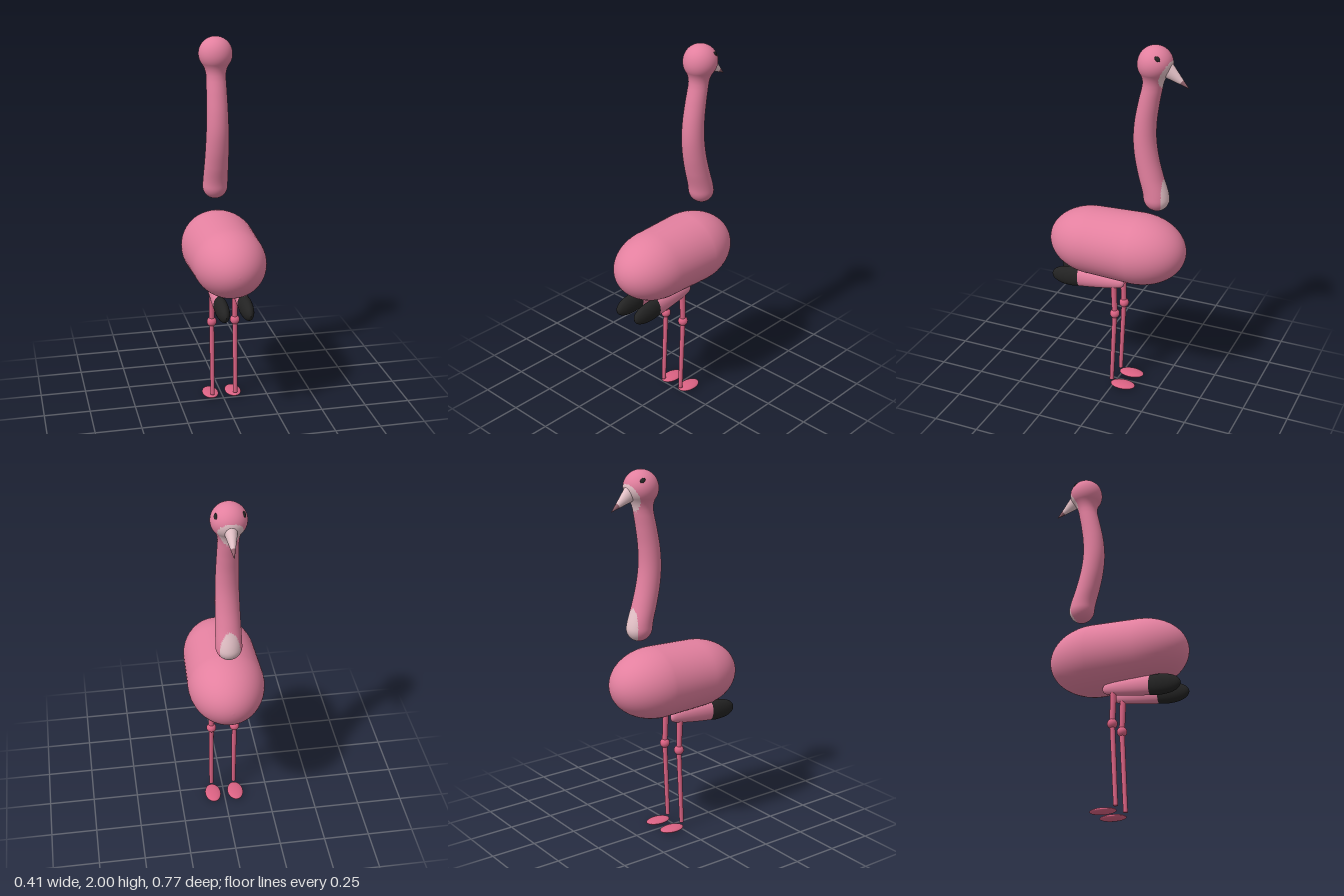
import * as THREE from 'three';
import { mergeVertices } from 'three/addons/utils/BufferGeometryUtils.js';

const mat = (name, color, side = THREE.FrontSide) => {
  const m = new THREE.MeshStandardMaterial({ color, side });
  m.name = name;
  return m;
};
const V2 = (x, y) => new THREE.Vector2(x, y);
const V3 = (x, y, z) => new THREE.Vector3(x, y, z);

export function createModel() {
  const pink = mat('feather pink', 0xe3809f);
  const rose = mat('leg rose', 0xdb6283);
  const pale = mat('pale pink', 0xe6c3c9);
  const dusky = mat('dusky beak tip', 0x94646f);
  const black = mat('black', 0x232323);

  const model = new THREE.Group();
  model.name = 'wadingBird';
  const add = (name, geometry, material, parent = model) => {
    const mesh = new THREE.Mesh(geometry, material);
    mesh.name = name;
    parent.add(mesh);
    return mesh;
  };

  // tapered rod between two points
  const rod = (name, a, b, ra, rb, material, parent = model, flat = 1, seg = 16) => {
    const dir = b.clone().sub(a);
    const g = new THREE.CylinderGeometry(rb, ra, dir.length(), seg);
    g.scale(flat, 1, 1);
    const m = add(name, g, material, parent);
    m.position.copy(a).lerp(b, 0.5);
    m.quaternion.setFromUnitVectors(V3(0, 1, 0), dir.normalize());
    return m;
  };

  // body: long rounded egg, slightly fuller at the chest (-z)
  const bodyPts = [];
  const N = 20;
  for (let i = 0; i <= N; i++) {
    const a = (i / N) * Math.PI / 2;
    bodyPts.push(V2(0.205 * Math.sin(a), -0.12 - 0.265 * Math.cos(a)));
  }
  for (let i = 0; i <= N; i++) {
    const a = (i / N) * Math.PI / 2;
    bodyPts.push(V2(0.196 * Math.cos(a), 0.13 + 0.255 * Math.sin(a)));
  }
  const body = new THREE.LatheGeometry(bodyPts, 48);
  body.rotateX(Math.PI / 2);
  body.scale(1, 0.94, 1);
  // the back slopes down a touch toward the tail
  add('body', body, pink).position.y = 0.863;

  // neck and head: one lathe profile, bent along a curve in z
  const lower = V3(0, 1.11, -0.224);
  const line = [lower, V3(0, 1.2, -0.217), V3(0, 1.3, -0.188), V3(0, 1.4, -0.164), V3(0, 1.5, -0.152),
    V3(0, 1.6, -0.156), V3(0, 1.7, -0.172), V3(0, 1.8, -0.192), V3(0, 1.91, -0.203), V3(0, 2, -0.203)];
  const centreZ = (y) => {
    let i = 0;
    while (i < line.length - 2 && y > line[i + 1].y) i++;
    const a = line[i], b = line[i + 1];
    const slope = (j) => {
      const p = line[Math.max(j - 1, 0)], q = line[Math.min(j + 1, line.length - 1)];
      return (q.z - p.z) / (q.y - p.y);
    };
    const h = b.y - a.y, t = (y - a.y) / h, s = 1 - t;
    return (1 + 2 * t) * s * s * a.z + t * s * s * h * slope(i)
      + t * t * (3 - 2 * t) * b.z - t * t * s * h * slope(i + 1);
  };
  const profile = [];
  for (let i = 0; i < 12; i++) {
    const a = (i / 12) * Math.PI / 2;
    profile.push(V2(0.069 * Math.sin(a), 1.18 - 0.07 * Math.cos(a)));
  }
  for (let i = 0; i <= 60; i++) {
    const y = 1.18 + (i / 60) * 0.6;
    profile.push(V2(0.069 - 0.016 * (i / 60), y));
  }
  profile.push(V2(0.0535, 1.80), V2(0.056, 1.817), V2(0.061, 1.833), V2(0.068, 1.848));
  for (let i = 0; i <= 28; i++) {
    const a = -0.6 + (i / 28) * (Math.PI / 2 + 0.6);
    profile.push(V2(Math.max(0, 0.091 * Math.cos(a)), 1.909 + 0.091 * Math.sin(a)));
  }
  let neck = new THREE.LatheGeometry(profile, 72);
  const p = neck.attributes.position;
  for (let i = 0; i < p.count; i++) p.setZ(i, p.getZ(i) + centreZ(p.getY(i)));
  neck.deleteAttribute('uv');
  neck.deleteAttribute('normal');
  neck = mergeVertices(neck, 1e-5);
  neck.computeVertexNormals();

  // pale patches at the throat and the foot of the neck
  const patches = [
    { c: V3(0, 1.18, -0.30), r: V3(0.065, 0.15, 0.06) },
    { c: V3(0, 1.85, -0.28), r: V3(0.075, 0.085, 0.055) },
  ];
  const pos = neck.attributes.position, index = neck.index.array;
  const faces = [[], []];
  for (let i = 0; i < index.length; i += 3) {
    const tri = [index[i], index[i + 1], index[i + 2]];
    const mid = V3(0, 0, 0);
    tri.forEach((k) => mid.add(V3(pos.getX(k), pos.getY(k), pos.getZ(k))));
    mid.divideScalar(3);
    const inPatch = patches.some(({ c, r }) => mid.clone().sub(c).divide(r).length() < 1);
    faces[inPatch ? 1 : 0].push(...tri);
  }
  neck.setIndex([...faces[0], ...faces[1]]);
  neck.addGroup(0, faces[0].length, 0);
  neck.addGroup(faces[0].length, faces[1].length, 1);
  add('neckAndHead', neck, [pink, pale]);

  // beak: narrow cone pointing forward and down
  const root = V3(0, 1.885, -0.265), tip = V3(0, 1.8, -0.384);
  const split = root.clone().lerp(tip, 0.66);
  rod('beakBase', root, split, 0.044, 0.015, pale, model, 0.8, 24);
  rod('beakTip', split, tip, 0.015, 0.0005, dusky, model, 0.8, 24);

  // folded thigh plume profile, front (-z) to rear; last part is black
  const plume = new THREE.SplineCurve([V2(0, -0.068), V2(0.022, -0.055), V2(0.033, -0.02), V2(0.041, 0.04),
    V2(0.049, 0.13), V2(0.053, 0.2), V2(0.056, 0.25), V2(0.048, 0.31), V2(0.028, 0.35), V2(0, 0.366)]);
  const pts = plume.getPoints(45).map((v) => V2(Math.max(0, v.x), v.y));
  const plumeGeo = (list) => {
    const g = new THREE.LatheGeometry(list, 28);
    g.rotateX(Math.PI / 2);
    g.scale(0.64, 1, 1);
    return g;
  };
  const pinkPlume = plumeGeo(pts.slice(0, 26)), blackPlume = plumeGeo(pts.slice(25));

  for (const [side, s] of [['left', 1], ['right', -1]]) {
    const leg = new THREE.Group();
    leg.name = side + 'Leg';
    leg.position.x = s * 0.065;
    model.add(leg);

    const fold = new THREE.Group();
    fold.name = side + 'Plume';
    fold.position.y = 0.661;
    fold.rotation.x = 0.06;
    leg.add(fold);
    add('plume', pinkPlume, pink, fold);
    add('plumeTip', blackPlume, black, fold);

    // shank, joint and foot
    rod('upperLeg', V3(0, 0.468, -0.011), V3(0, 0.66, -0.004), 0.015, 0.017, rose, leg);
    rod('lowerLeg', V3(0, 0.035, 0.008), V3(0, 0.468, -0.011), 0.012, 0.014, rose, leg);
    add('joint', new THREE.SphereGeometry(0.027, 24, 16), rose, leg).position.set(0, 0.468, -0.011);
    const foot = add('foot', new THREE.SphereGeometry(1, 28, 16), rose, leg);
    foot.scale.set(0.045, 0.014, 0.072);
    foot.position.set(0, 0.014, -0.06);

    // eye: small flattened bead set into the head
    const eye = add(side + 'Eye', new THREE.SphereGeometry(1, 16, 12), black);
    const out = V3(s * 0.07, 0.046, -0.037).normalize();
    eye.scale.set(0.016, 0.011, 0.005);
    eye.position.set(0, 1.909, -0.203).addScaledVector(out, 0.09);
    eye.quaternion.setFromUnitVectors(V3(0, 0, 1), out);
  }
  return model;
}
